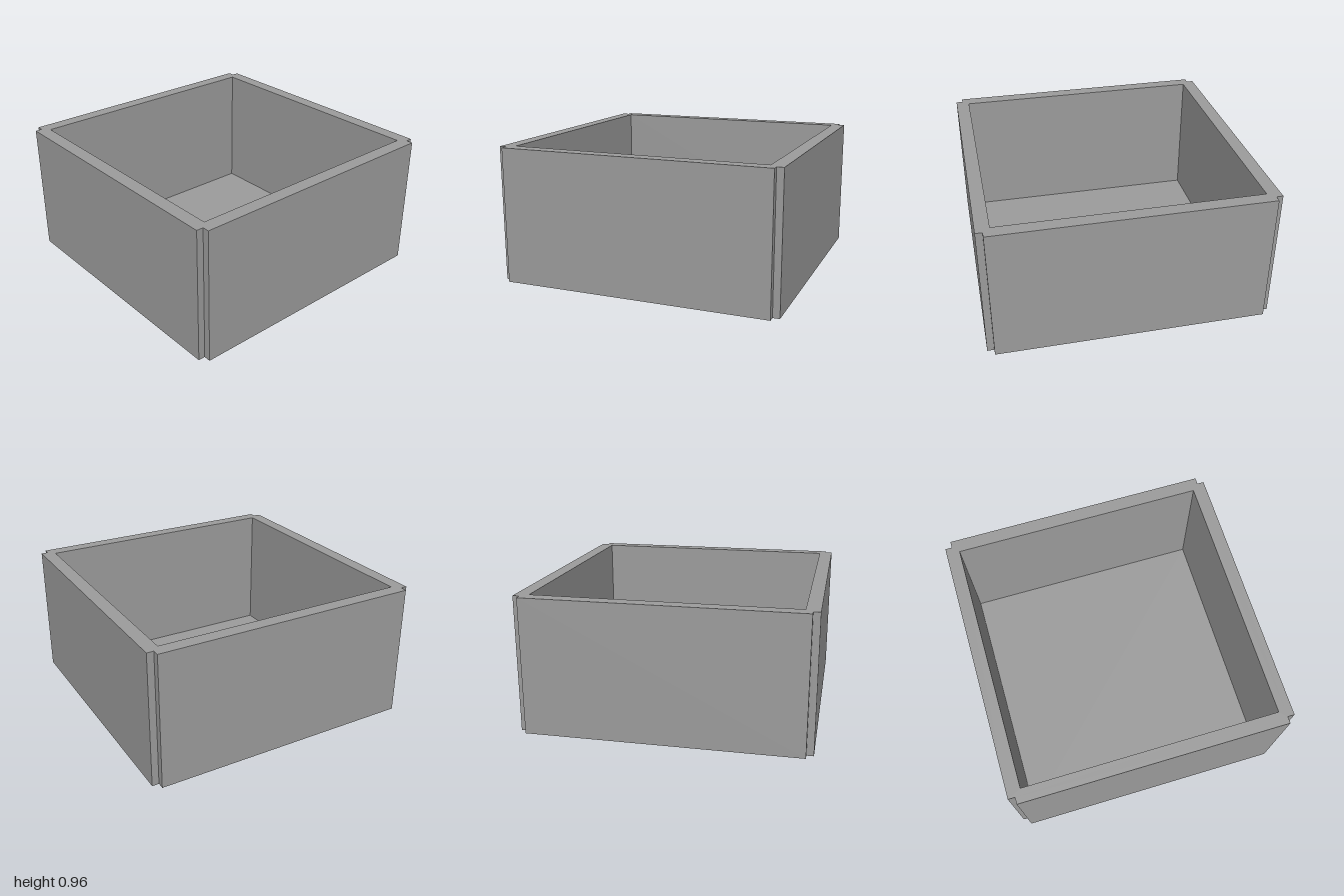
import * as THREE from 'three';

const HEIGHT = 0.957;   // overall height
const OUTER = 1;        // half width to the outer wall faces
const NOTCH = 0.952;    // half width to the corner notches
const INNER = 0.904;    // half width of the cavity
const FLOOR = 0.008;    // floor thickness

// Square outline with a small rectangular notch at every corner
function notchedSquare() {
  const points = [];
  for (let i = 0; i < 4; i++) {
    for (const [x, y] of [[OUTER, -NOTCH], [OUTER, NOTCH], [NOTCH, NOTCH]]) {
      points.push(new THREE.Vector2(x, y).rotateAround(new THREE.Vector2(), i * Math.PI / 2));
    }
  }
  return new THREE.Shape(points);
}

export function createModel() {
  const group = new THREE.Group();
  group.name = 'openBox';
  const material = new THREE.MeshStandardMaterial({ color: 0x9c9c9c, flatShading: true });

  // Four walls joined at the notched corners, open at top and bottom
  const outline = notchedSquare();
  outline.holes.push(new THREE.Path([
    new THREE.Vector2(-INNER, -INNER),
    new THREE.Vector2(-INNER, INNER),
    new THREE.Vector2(INNER, INNER),
    new THREE.Vector2(INNER, -INNER),
  ]));
  const wallGeometry = new THREE.ExtrudeGeometry(outline, { depth: HEIGHT, bevelEnabled: false });
  wallGeometry.rotateX(-Math.PI / 2);
  const walls = new THREE.Mesh(wallGeometry, material);
  walls.name = 'walls';

  // Thin floor closing the cavity, flush with the wall bottoms
  const floor = new THREE.Mesh(new THREE.BoxGeometry(2 * INNER, FLOOR, 2 * INNER), material);
  floor.name = 'floor';
  floor.position.y = FLOOR / 2;

  group.add(walls, floor);
  return group;
}
